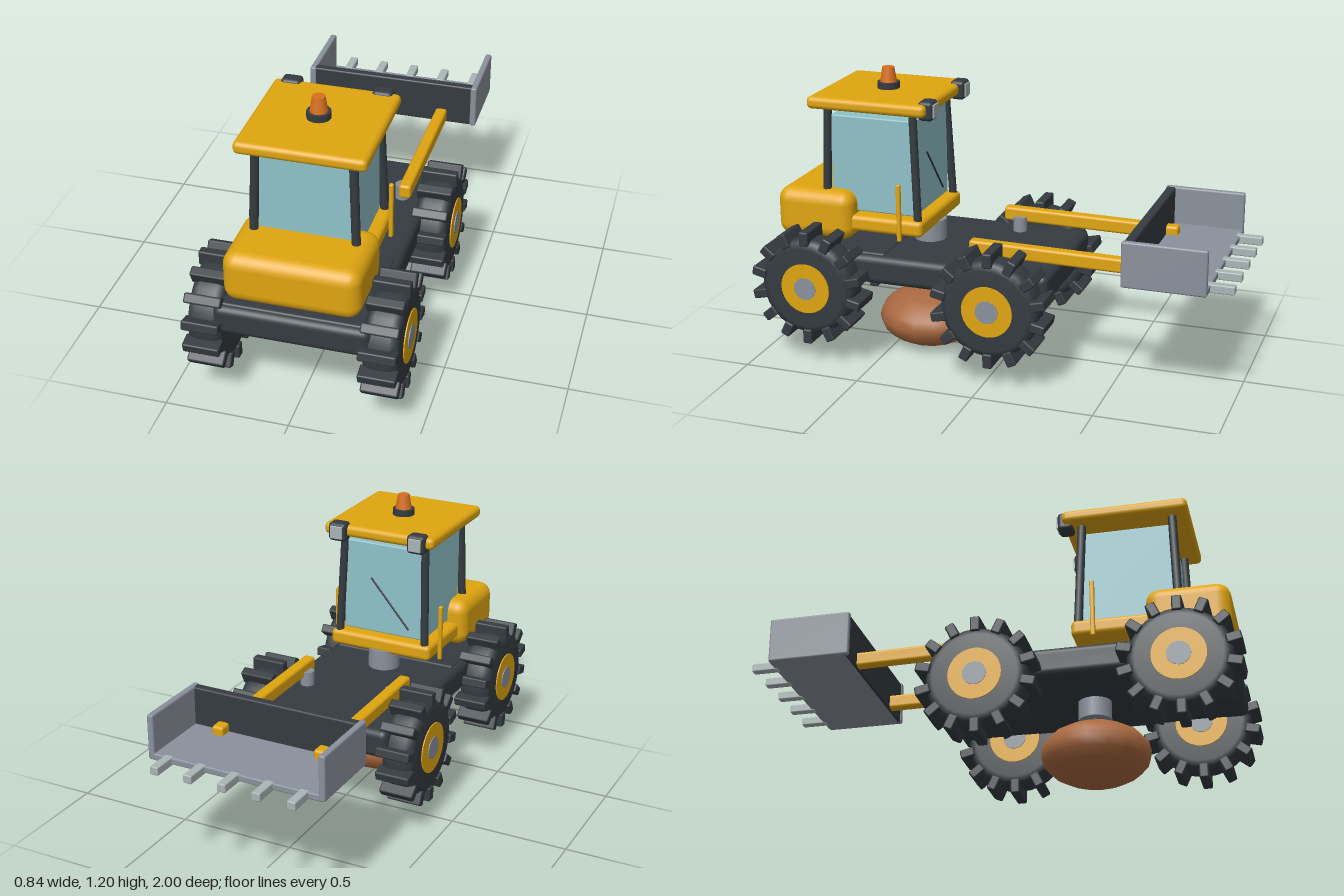
import * as THREE from 'three';
import { RoundedBoxGeometry } from 'three/addons/geometries/RoundedBoxGeometry.js';

const mat = (name, color) => {
  const m = new THREE.MeshStandardMaterial({ color });
  m.name = name;
  return m;
};

export function createModel() {
  const yellow = mat('yellow paint', 0xdfa510);
  const dark = mat('dark rubber and steel', 0x343b40);
  const glass = mat('tinted glass', 0x8fc1c7);
  const steel = mat('grey steel', 0x8a919b);
  const pale = mat('pale steel', 0xaab5b5);
  const brown = mat('brown stone', 0xa8683f);
  const orange = mat('orange lamp', 0xd8701f);

  const model = new THREE.Group();
  model.name = 'bucketTractor';

  const add = (name, geometry, material, x, y, z, parent = model) => {
    const mesh = new THREE.Mesh(geometry, material);
    mesh.name = name;
    mesh.position.set(x, y, z);
    parent.add(mesh);
    return mesh;
  };
  // Softened box given by its extents along each axis
  const block = (name, material, [x0, x1], [y0, y1], [z0, z1], r = 0.01) =>
    add(name, new RoundedBoxGeometry(x1 - x0, y1 - y0, z1 - z0, 3, r), material,
      (x0 + x1) / 2, (y0 + y1) / 2, (z0 + z1) / 2);
  // Upright round part, optionally tapered
  const post = (name, material, x, z, y0, y1, r0, r1 = r0) =>
    add(name, new THREE.CylinderGeometry(r1, r0, y1 - y0, 20), material, x, (y0 + y1) / 2, z);
  // Round bar between two points
  const bar = (name, material, a, b, r) => {
    const p = new THREE.Vector3(...a), q = new THREE.Vector3(...b);
    const mesh = add(name, new THREE.CylinderGeometry(r, r, p.distanceTo(q), 8), material, 0, 0, 0);
    mesh.position.copy(p).add(q).multiplyScalar(0.5);
    mesh.quaternion.setFromUnitVectors(new THREE.Vector3(0, 1, 0), q.sub(p).normalize());
  };

  // Chassis and turntable
  block('chassis', dark, [-0.307, 0.307], [0.35, 0.473], [-0.25, 0.955], 0.03);
  block('frontDeck', dark, [-0.28, 0.28], [0.44, 0.48], [0.46, 0.93]);
  post('turntable', steel, 0, 0.363, 0.27, 0.56, 0.068);
  post('lowerShaft', dark, 0, 0.363, 0.22, 0.29, 0.03);
  const stone = add('stone', new THREE.SphereGeometry(1, 16, 10), brown, 0, 0.124, 0.363);
  stone.scale.set(0.223, 0.124, 0.223);

  // Wheels: bulged tyre, chunky lugs, hub and cap
  const profile = [[0.02, -0.07], [0.17, -0.07], [0.195, -0.06], [0.205, -0.035], [0.205, 0.035],
    [0.195, 0.06], [0.17, 0.07], [0.02, 0.07]].map(([r, h]) => new THREE.Vector2(r, h));
  const tyreGeo = new THREE.LatheGeometry(profile, 28).rotateZ(Math.PI / 2);
  const lugGeo = new RoundedBoxGeometry(0.148, 0.062, 0.04, 2, 0.007);
  const hubGeo = new THREE.CylinderGeometry(0.107, 0.107, 0.149, 28).rotateZ(Math.PI / 2);
  const capGeo = new THREE.CylinderGeometry(0.048, 0.048, 0.156, 20).rotateZ(Math.PI / 2);
  for (const z of [0.758, -0.034]) {
    for (const side of [-1, 1]) {
      const wheel = new THREE.Group();
      wheel.name = 'wheel';
      wheel.position.set(side * 0.344, 0.34, z);
      model.add(wheel);
      add('tyre', tyreGeo, dark, 0, 0, 0, wheel);
      add('hub', hubGeo, yellow, 0, 0, 0, wheel);
      add('hubCap', capGeo, steel, 0, 0, 0, wheel);
      for (let i = 0; i < 14; i++) {
        const a = (i / 14) * Math.PI * 2;
        const lug = add('treadLug', lugGeo, dark, 0, Math.cos(a) * 0.214, Math.sin(a) * 0.214, wheel);
        lug.rotation.x = a;
      }
    }
  }

  // Bonnet and cab
  block('bonnet', yellow, [-0.267, 0.267], [0.503, 0.712], [0.615, 0.953], 0.055);
  block('cabFloor', yellow, [-0.235, 0.235], [0.547, 0.615], [0.312, 0.72], 0.02);
  block('cabGlass', glass, [-0.187, 0.187], [0.622, 1.027], [0.355, 0.725], 0.006);
  block('roof', yellow, [-0.253, 0.253], [1.06, 1.111], [0.285, 0.802], 0.02);
  bar('wiper', dark, [0.06, 0.87, 0.352], [-0.12, 0.66, 0.352], 0.004);
  for (const s of [-1, 1]) {
    bar('frontPillar', dark, [s * 0.203, 0.6, 0.745], [s * 0.187, 1.07, 0.733], 0.018);
    bar('rearPillar', dark, [s * 0.203, 0.6, 0.338], [s * 0.187, 1.07, 0.36], 0.018);
    block('handrail', yellow, [s * 0.246 - 0.009, s * 0.246 + 0.009], [0.53, 0.775], [0.395, 0.414], 0.006);
    // Work lamps on the rear roof edge
    block('workLamp', dark, [s * 0.182 - 0.04, s * 0.182 + 0.04], [1.042, 1.122], [0.262, 0.325], 0.016);
    block('workLampLens', pale, [s * 0.182 - 0.028, s * 0.182 + 0.028], [1.054, 1.11], [0.257, 0.265], 0.003);
  }

  // Beacon
  post('beaconBase', dark, 0, 0.54, 1.105, 1.138, 0.047);
  post('beacon', orange, 0, 0.54, 1.138, 1.2, 0.035, 0.025);

  // Lift arms with their mounts
  for (const s of [-1, 1]) {
    const arm = block('liftArm', yellow, [s * 0.225 - 0.025, s * 0.225 + 0.025],
      [0.507, 0.567], [-0.66, 0.102], 0.012);
    arm.rotation.x = -0.012;
    post('armMount', steel, s * 0.2, 0.03, 0.46, 0.535, 0.03);
  }

  // Bucket
  block('bucketBack', dark, [-0.365, 0.365], [0.5, 0.685], [-0.61, -0.572], 0.008);
  block('bucketFloor', steel, [-0.36, 0.36], [0.499, 0.527], [-0.905, -0.58], 0.006);
  for (const s of [-1, 1]) {
    block('bucketSide', steel, [s * 0.367 - 0.0135, s * 0.367 + 0.0135], [0.499, 0.687], [-0.905, -0.567], 0.008);
  }
  for (let i = -2; i <= 2; i++) {
    const x = i * 0.1465;
    block('bucketTooth', pale, [x - 0.018, x + 0.018], [0.494, 0.529], [-1, -0.89], 0.005);
  }
  return model;
}
